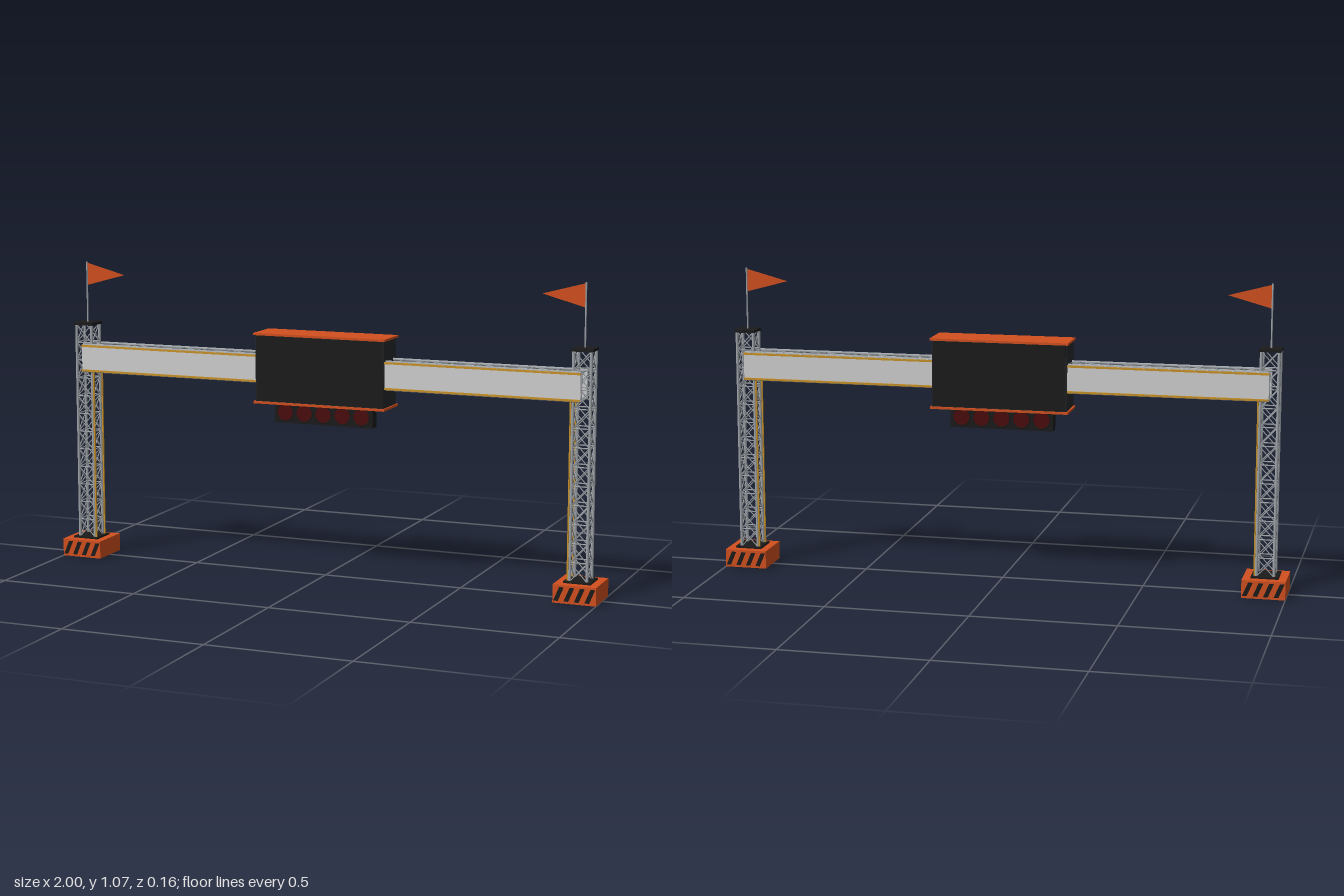
import * as THREE from 'three';
import { mergeGeometries } from 'three/addons/utils/BufferGeometryUtils.js';

const paint = (name, color, side = THREE.FrontSide) => {
  const m = new THREE.MeshStandardMaterial({ color, side });
  m.name = name;
  return m;
};

export function createModel() {
  const orange = paint('safety orange', 0xd2501f);
  const flagOrange = orange.clone();
  flagOrange.side = THREE.DoubleSide;
  const black = paint('black', 0x1b1b1b);
  const charcoal = paint('charcoal housing', 0x25282b);
  const steel = paint('steel', 0xa0a5aa);
  const white = paint('banner grey', 0xd0d0d0);
  const gold = paint('gold trim', 0xc8922a);
  const red = paint('dark red lamp', 0x4a0c0c);

  const model = new THREE.Group();
  model.name = 'gantry';

  const add = (parent, name, geo, mat, x = 0, y = 0, z = 0) => {
    const mesh = new THREE.Mesh(geo, mat);
    mesh.name = name;
    mesh.position.set(x, y, z);
    parent.add(mesh);
    return mesh;
  };
  const box = (parent, name, mat, w, h, d, x, y, z) =>
    add(parent, name, new THREE.BoxGeometry(w, h, d), mat, x, y, z);

  // Round bar between two points
  const up = new THREE.Vector3(0, 1, 0);
  const bar = (a, b, r, sides = 6) => {
    const p = new THREE.Vector3(...a), q = new THREE.Vector3(...b);
    const dir = q.clone().sub(p);
    const geo = new THREE.CylinderGeometry(r, r, dir.length(), sides);
    geo.applyQuaternion(new THREE.Quaternion().setFromUnitVectors(up, dir.normalize()));
    const mid = p.add(q).multiplyScalar(0.5);
    return geo.translate(mid.x, mid.y, mid.z);
  };

  // Square lattice along y: four chords, rungs, and crossed or zigzag braces
  const lattice = (y0, y1, bays, halfX, halfZ, crossed) => {
    const parts = [];
    const corners = [[1, 1], [-1, 1], [-1, -1], [1, -1]].map(([i, k]) => [i * halfX, k * halfZ]);
    const step = (y1 - y0) / bays;
    corners.forEach(([x, z], i) => {
      const [nx, nz] = corners[(i + 1) % 4];
      parts.push(bar([x, y0, z], [x, y1, z], 0.0052, 10));
      for (let b = 0; b <= bays; b++) {
        const lo = y0 + b * step, hi = lo + step;
        parts.push(bar([x, lo, z], [nx, lo, nz], 0.0024));
        if (b === bays) continue;
        if (crossed || b % 2 === 0) parts.push(bar([x, lo, z], [nx, hi, nz], 0.002));
        if (crossed || b % 2 === 1) parts.push(bar([nx, lo, nz], [x, hi, z], 0.002));
      }
    });
    return mergeGeometries(parts);
  };

  // Slanted hazard stripe
  const stripeShape = new THREE.Shape([
    [-0.018, -0.024], [-0.002, -0.024], [0.018, 0.024], [0.002, 0.024],
  ].map(p => new THREE.Vector2(...p)));
  const stripeGeo = new THREE.ExtrudeGeometry(stripeShape, { depth: 0.001, bevelEnabled: false });

  const towerGeo = lattice(0.066, 0.845, 12, 0.03, 0.03, true);

  // Towers with ballast blocks, caps and pennants
  for (const s of [-1, 1]) {
    const tower = new THREE.Group();
    tower.name = s > 0 ? 'leftTower' : 'rightTower';
    tower.position.x = s * 0.925;
    model.add(tower);

    box(tower, 'ballastBlock', orange, 0.15, 0.063, 0.154, 0, 0.0315, 0);
    for (const f of [0, Math.PI]) {
      const face = new THREE.Group();
      face.name = 'hazardStripes';
      face.rotation.y = f;
      tower.add(face);
      for (let i = 0; i < 4; i++)
        add(face, 'stripe', stripeGeo, black, -0.054 + i * 0.036, 0.0315, 0.0768);
    }
    box(tower, 'footPlate', black, 0.095, 0.006, 0.095, 0, 0.066, 0);
    add(tower, 'towerLattice', towerGeo, steel);
    box(tower, 'capPlate', black, 0.074, 0.01, 0.074, 0, 0.848, 0);

    // Gold strips on the inner corners
    for (const k of [-1, 1])
      box(tower, 'cornerStrip', gold, 0.005, 0.61, 0.006, -s * 0.037, 0.374, k * 0.032);

    add(tower, 'flagPole', new THREE.CylinderGeometry(0.003, 0.003, 0.22, 8), steel, 0, 0.96, 0);
    const pennant = new THREE.Shape([
      new THREE.Vector2(0, 0.985), new THREE.Vector2(-s * 0.15, 1.026), new THREE.Vector2(0, 1.066),
    ]);
    add(tower, 'pennant', new THREE.ShapeGeometry(pennant), flagOrange);
  }

  // Crossbeam truss laid along x
  const beam = lattice(-0.925, 0.925, 20, 0.047, 0.036, false);
  beam.rotateZ(Math.PI / 2);
  add(model, 'crossbeam', beam, steel, 0, 0.726, 0);

  // Banner panels with gold edging on both faces
  for (const k of [-1, 1]) {
    box(model, 'bannerPanel', white, 1.85, 0.094, 0.005, 0, 0.727, k * 0.046);
    for (const y of [0.771, 0.682])
      box(model, 'bannerTrim', gold, 1.85, 0.007, 0.006, 0, y, k * 0.0505);
  }

  // Central display housing
  const display = new THREE.Group();
  display.name = 'display';
  model.add(display);
  box(display, 'housing', charcoal, 0.474, 0.236, 0.122, 0, 0.73, 0);
  for (const k of [-1, 1])
    box(display, 'screen', black, 0.468, 0.228, 0.004, 0, 0.73, k * 0.0615);
  box(display, 'topTrim', orange, 0.486, 0.008, 0.134, 0, 0.849, 0);
  box(display, 'bottomTrim', orange, 0.486, 0.008, 0.134, 0, 0.61, 0);

  // Signal light bar with lamps on both faces
  const lights = new THREE.Group();
  lights.name = 'signalLights';
  model.add(lights);
  box(lights, 'lightBar', black, 0.364, 0.07, 0.04, 0, 0.571, 0);
  const lampGeo = new THREE.CylinderGeometry(0.029, 0.029, 0.004, 28).rotateX(Math.PI / 2);
  const rimGeo = new THREE.TorusGeometry(0.03, 0.002, 6, 28);
  for (const k of [-1, 1])
    for (let i = -2; i <= 2; i++) {
      add(lights, 'lamp', lampGeo, red, i * 0.071, 0.574, k * 0.0215);
      add(lights, 'lampRim', rimGeo, black, i * 0.071, 0.574, k * 0.0225);
    }

  return model;
}
